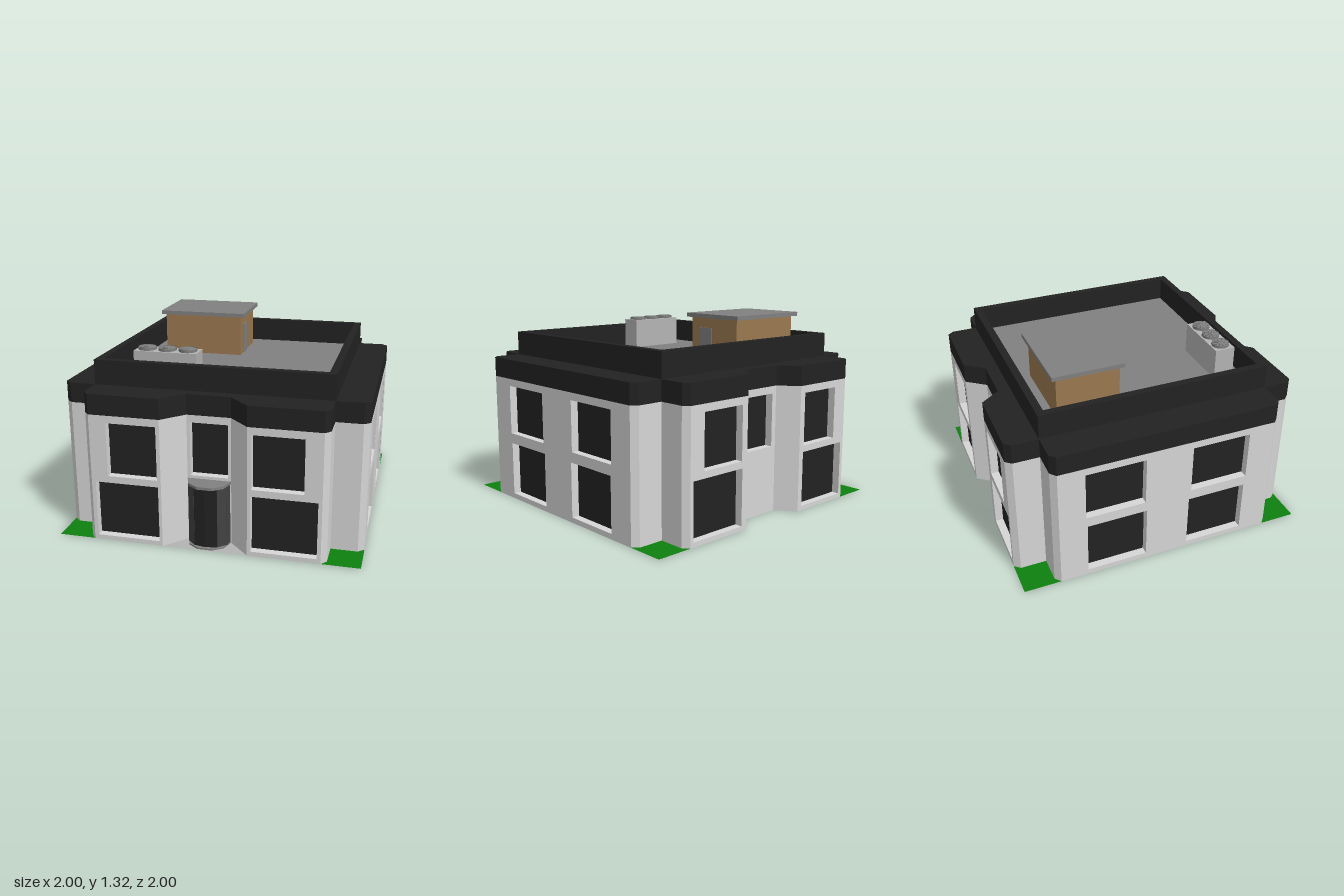
import * as THREE from 'three';

const mat = (name, color, side = THREE.FrontSide) => {
  const m = new THREE.MeshStandardMaterial({ color, side });
  m.name = name;
  return m;
};

export function createModel() {
  const model = new THREE.Group();
  model.name = 'building';
  const wallMat = mat('pale wall', 0xd6d6d6, THREE.DoubleSide);
  const blackMat = mat('black trim', 0x222222, THREE.DoubleSide);
  const roofMat = mat('roof grey', 0x808080, THREE.DoubleSide);
  const paleMat = mat('light grey', 0xb4b4b4, THREE.DoubleSide);
  const grassMat = mat('grass green', 0x0e800e, THREE.DoubleSide);
  const brownMat = mat('brown', 0x9a7850);
  const doorMat = mat('door grey', 0x424242, THREE.DoubleSide);

  const add = (name, geo, material, parent = model) => {
    const m = new THREE.Mesh(geo, material);
    m.name = name;
    parent.add(m);
    return m;
  };
  const box = (name, x0, x1, y0, y1, z0, z1, material, parent) => {
    const m = add(name, new THREE.BoxGeometry(x1 - x0, y1 - y0, z1 - z0), material, parent);
    m.position.set((x0 + x1) / 2, (y0 + y1) / 2, (z0 + z1) / 2);
    return m;
  };
  const poly = (pts) => new THREE.Shape(pts.map(([x, y]) => new THREE.Vector2(x, y)));
  const rect = (a, b, c, d) => poly([[a, c], [b, c], [b, d], [a, d]]);
  // Horizontal plan outline [x, z] raised to a height, optionally thick and with a square hole
  const slab = (name, pts, y, h, material, hole = 0) => {
    const s = poly(pts.map(([x, z]) => [x, -z]));
    if (hole) s.holes.push(rect(-hole, hole, -hole, hole));
    const g = h ? new THREE.ExtrudeGeometry(s, { depth: h, bevelEnabled: false }) : new THREE.ShapeGeometry(s);
    g.rotateX(-Math.PI / 2).translate(0, y, 0);
    return add(name, g, material);
  };
  const square = (r) => [[-r, r], [r, r], [r, -r], [-r, -r]];

  // Windows as [left, right, bottom, top] along each facade
  const lowerOuter = [0.3, 0.725, 0.03, 0.41], upperOuter = [0.305, 0.637, 0.455, 0.815];
  const flip = ([a, b, c, d]) => [-b, -a, c, d];
  const outer = [lowerOuter, upperOuter], outerFlip = outer.map(flip);
  const middle = [[-0.125, 0.125, 0.455, 0.815]];
  const sideHalf = [[0.15, 0.562, 0.035, 0.405], [0.162, 0.57, 0.475, 0.815]];
  const side = [...sideHalf, ...sideHalf.map(flip)];

  // Building outline [x, z, windows of the wall that starts here]
  const half = [
    [0.145, 0.86], [0.28, 1, outer], [0.75, 1], [0.785, 0.96], [0.785, 0.785], [0.96, 0.785],
    [1, 0.75, side], [1, -0.75], [0.96, -0.785], [0.785, -0.785], [0.785, -0.96],
    [0.75, -1, outerFlip], [0.26, -1], [0.16, -0.87, middle],
  ];
  const mirrored = half.map(([x, z]) => [-x, z]).reverse();
  mirrored[1].push(outer);
  mirrored[6].push(side);
  mirrored[11].push(outerFlip);
  mirrored[13].push(middle);
  const outline = [...half, ...mirrored];

  // Walls with recessed windows, and the black band above them
  const depth = 0.055;
  outline.forEach(([x, z, windows = []], i) => {
    const [x1, z1] = outline[(i + 1) % outline.length];
    const angle = Math.atan2(z - z1, x1 - x);
    const c = Math.cos(angle), s = Math.sin(angle);
    const u0 = x * c - z * s, u1 = x1 * c - z1 * s, off = x * s + z * c;
    const panel = new THREE.Group();
    panel.name = 'wallPanel';
    panel.rotation.y = angle;
    panel.position.set(s * off, 0, c * off);
    model.add(panel);

    const wall = rect(u0, u1, 0, 0.865);
    windows.forEach(([a, b, y0, y1]) => {
      wall.holes.push(rect(a, b, y0, y1));
      const e = 0.008;
      const frame = rect(a - e, b + e, y0 - e, y1 + e);
      frame.holes.push(rect(a, b, y0, y1));
      const reveal = new THREE.ExtrudeGeometry(frame, { depth: depth - 0.002, bevelEnabled: false });
      add('windowReveal', reveal, wallMat, panel).position.z = -depth;
      box('windowGlass', a - e, b + e, y0 - e, y1 + e, -depth - 0.006, -depth, blackMat, panel);
    });
    add('wall', new THREE.ShapeGeometry(wall), wallMat, panel);
    add('roofBand', new THREE.ShapeGeometry(rect(u0, u1, 0.865, 1)), blackMat, panel);
  });

  // Roof ledge, parapet and flat roof
  slab('roofLedge', outline, 1, 0, blackMat, 0.735);
  slab('parapet', square(0.785), 1, 0.165, blackMat, 0.735);
  slab('flatRoof', square(0.735), 1, 0, roofMat);

  // Grass in the four corners
  const corner = [[0.75, 1], [1, 1], [1, 0.75], [0.96, 0.785], [0.785, 0.785], [0.785, 0.96]];
  for (const sx of [-1, 1]) for (const sz of [-1, 1]) {
    slab('cornerGrass', corner.map(([x, z]) => [x * sx, z * sz]), 0.001, 0, grassMat);
  }

  // Entrance: paving, faceted glass bay, step and canopy
  slab('entrancePaving', [[-0.28, 1], [0.28, 1], [0.145, 0.86], [-0.145, 0.86]], 0.001, 0, paleMat);
  const bay = [[-0.142, 0.86], [-0.115, 0.945], [-0.05, 0.992], [0.05, 0.992], [0.115, 0.945], [0.142, 0.86]];
  slab('entranceStep', bay, 0.002, 0.01, roofMat);
  slab('entranceCanopy', bay, 0.418, 0.018, roofMat);
  const plan = [[-0.135, 0.86], [-0.125, 0.91], [-0.075, 0.957], [0, 0.972], [0.075, 0.957], [0.125, 0.91], [0.135, 0.86]];
  for (let i = 0; i < plan.length - 1; i++) {
    const [xa, za] = plan[i], [xb, zb] = plan[i + 1];
    const centre = i === 2 || i === 3;
    const g = new THREE.BoxGeometry(Math.hypot(xb - xa, zb - za), 0.408, 0.006);
    const m = add(centre ? 'entranceDoor' : 'entranceSidePanel', g, centre ? blackMat : doorMat);
    m.position.set((xa + xb) / 2, 0.214, (za + zb) / 2);
    m.rotation.y = Math.atan2(za - zb, xb - xa);
  }

  // Rooftop hut
  box('hutWalls', -0.615, -0.045, 1, 1.287, -0.612, -0.188, brownMat);
  box('hutRoof', -0.642, -0.015, 1.287, 1.315, -0.645, -0.162, roofMat);
  box('hutDoor', -0.046, -0.039, 1, 1.217, -0.377, -0.268, roofMat);

  // Rooftop cooling unit with three fans
  box('coolingUnit', -0.555, -0.13, 1, 1.21, 0.53, 0.67, paleMat);
  for (const x of [-0.482, -0.345, -0.206]) {
    const fan = new THREE.Group();
    fan.name = 'fan';
    fan.position.set(x, 1.21, 0.6);
    model.add(fan);
    const ring = new THREE.CylinderGeometry(0.06, 0.06, 0.018, 20, 1, true);
    add('fanRing', ring, roofMat, fan).position.y = 0.009;
    const floor = new THREE.CircleGeometry(0.06, 20).rotateX(-Math.PI / 2);
    add('fanWell', floor, doorMat, fan).position.y = 0.002;
    for (let k = 0; k < 10; k++) {
      const blade = new THREE.CircleGeometry(0.059, 2, 0, Math.PI * 0.17);
      blade.rotateX(-Math.PI / 2 + 0.08).rotateY(k * Math.PI / 5);
      add('fanBlade', blade, roofMat, fan).position.y = 0.012;
    }
  }
  return model;
}
